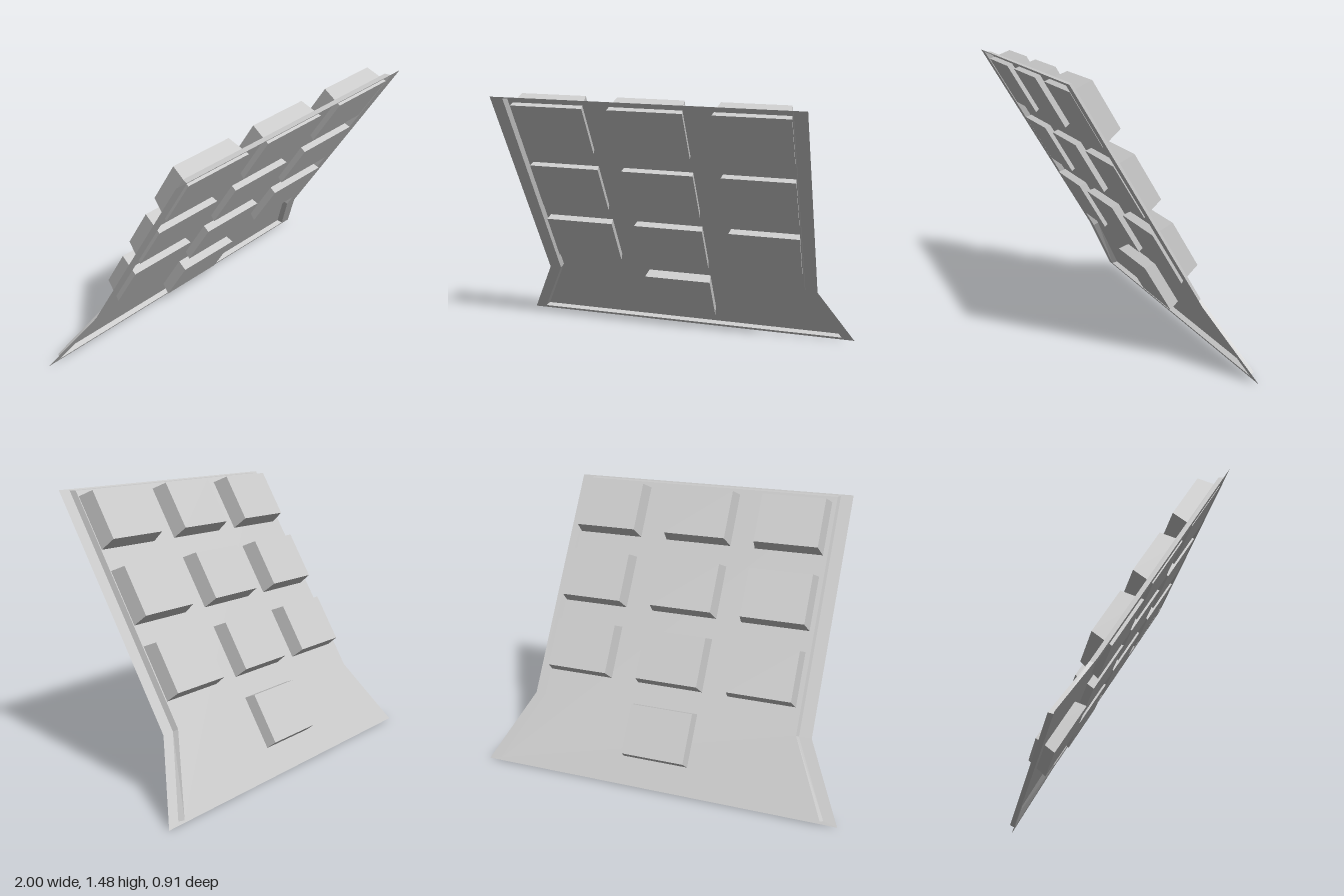
import * as THREE from 'three';

const material = new THREE.MeshStandardMaterial({ color: 0xcccccc, side: THREE.DoubleSide, flatShading: true });

// Symmetric outline flaring toward the bottom: top, bend and bottom heights with half widths
function outline(top, bend, bottom, half, flare) {
  return [[-half, top], [-half, bend], [-flare, bottom], [flare, bottom], [half, bend], [half, top]]
    .map(([x, y]) => new THREE.Vector2(x, y));
}

function addMesh(parent, geometry, name) {
  const mesh = new THREE.Mesh(geometry, material);
  mesh.name = name;
  parent.add(mesh);
  return mesh;
}

// Strip of quads joining two outlines at different depths
function wallGeometry(a, za, b, zb) {
  const pos = [];
  a.forEach((p, i) => {
    const j = (i + 1) % a.length;
    const p0 = [p.x, p.y, za], p1 = [a[j].x, a[j].y, za];
    const q0 = [b[i].x, b[i].y, zb], q1 = [b[j].x, b[j].y, zb];
    pos.push(...p0, ...q0, ...p1, ...p1, ...q0, ...q1);
  });
  const g = new THREE.BufferGeometry();
  g.setAttribute('position', new THREE.Float32BufferAttribute(pos, 3));
  g.computeVertexNormals();
  return g;
}

// Block whose rear face is smaller than its front face
function keyGeometry(width, height, depth, inset) {
  const g = new THREE.BoxGeometry(width, height, depth);
  const p = g.attributes.position;
  for (let i = 0; i < p.count; i++) {
    if (p.getZ(i) < 0) {
      p.setX(i, p.getX(i) - Math.sign(p.getX(i)) * inset);
      p.setY(i, p.getY(i) - Math.sign(p.getY(i)) * inset);
    }
  }
  g.computeVertexNormals();
  return g;
}

export function createModel() {
  const model = new THREE.Group();
  model.name = 'keypad';

  // Leaning frame: local y runs up the panel, local -z points out of its rear face
  const panel = new THREE.Group();
  panel.name = 'panel';
  panel.position.set(0, 1.469, 0.449);
  panel.rotation.x = Math.atan2(0.516, 0.857);
  model.add(panel);

  const outer = outline(0.007, -1.302, -1.714, 0.8, 1.0);
  const rim = outline(0, -1.302, -1.696, 0.733, 0.927);
  const raised = outline(-0.018, -1.302, -1.701, 0.724, 0.915);
  const rise = -0.03;

  // Thin flange around the recess
  const flange = new THREE.Shape(outer);
  flange.holes.push(new THREE.Path(rim));
  addMesh(panel, new THREE.ShapeGeometry(flange), 'flange');

  // Recess wall and raised plate
  addMesh(panel, wallGeometry(rim, 0, raised, rise), 'recessWall');
  addMesh(panel, new THREE.ShapeGeometry(new THREE.Shape(raised)), 'plate').position.z = rise;

  // Keys: three full rows and a single bottom key, each row set a little further forward
  const depth = 0.121;
  const key = keyGeometry(0.384, 0.304, depth, 0.018);
  const columns = [-0.512, 0.002, 0.532];
  const rows = [
    { y: -0.197, front: 0, xs: columns },
    { y: -0.608, front: 0.004, xs: columns },
    { y: -1.013, front: 0.013, xs: columns },
    { y: -1.420, front: 0.033, xs: [columns[1]] },
  ];
  for (const { y, front, xs } of rows) {
    for (const x of xs) addMesh(panel, key, 'key').position.set(x, y, front - depth / 2);
  }
  return model;
}
